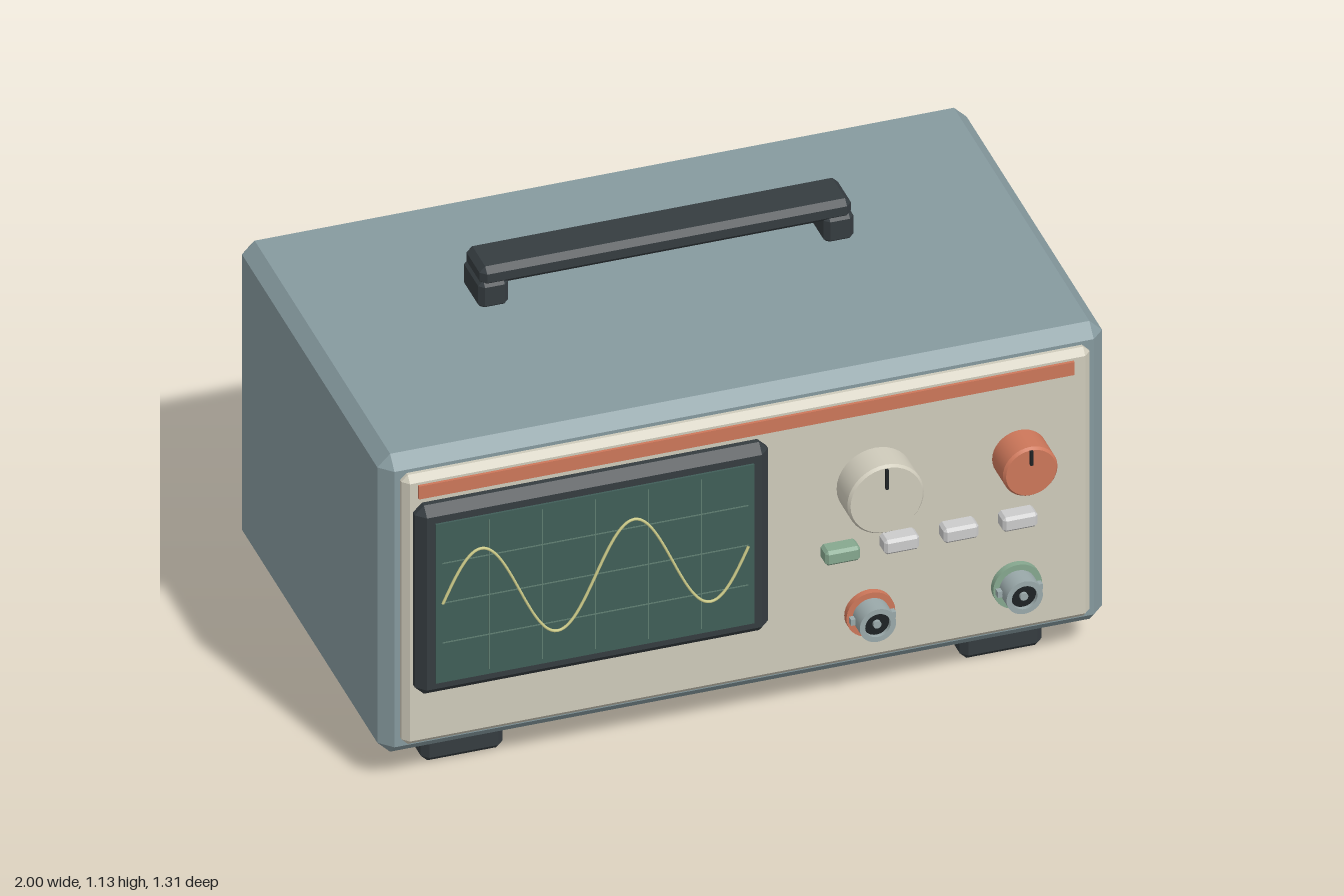
import * as THREE from 'three';
import { ConvexGeometry } from 'three/addons/geometries/ConvexGeometry.js';

const mat = (color) => new THREE.MeshStandardMaterial({ color });
const M = {
  shell: mat(0x869a9f), back: mat(0x76898a), cream: mat(0xcfcbbb), dark: mat(0x353c40),
  orange: mat(0xcd775a), screen: mat(0x405e58), grid: mat(0x5f7d70), trace: mat(0xd0cf8c),
  green: mat(0x86a88f), button: mat(0xc6c6c4), metal: mat(0x9aa9aa), black: mat(0x1d2224),
};

export function createModel() {
  const model = new THREE.Group();

  const add = (name, geometry, material, parent = model) => {
    const mesh = new THREE.Mesh(geometry, material);
    mesh.name = name;
    parent.add(mesh);
    return mesh;
  };

  // Box between two corners with all twelve edges chamfered by c
  const box = (name, material, [x0, y0, z0], [x1, y1, z1], c = 0, parent = model) => {
    const h = [(x1 - x0) / 2, (y1 - y0) / 2, (z1 - z0) / 2];
    let geometry;
    if (c > 0) {
      const points = [];
      for (const sx of [-1, 1]) for (const sy of [-1, 1]) for (const sz of [-1, 1]) {
        for (let axis = 0; axis < 3; axis++) {
          const p = h.map((v, i) => (i === axis ? v : v - c));
          points.push(new THREE.Vector3(p[0] * sx, p[1] * sy, p[2] * sz));
        }
      }
      geometry = new ConvexGeometry(points);
    } else {
      geometry = new THREE.BoxGeometry(h[0] * 2, h[1] * 2, h[2] * 2);
    }
    const mesh = add(name, geometry, material, parent);
    mesh.position.set((x0 + x1) / 2, (y0 + y1) / 2, (z0 + z1) / 2);
    return mesh;
  };

  // Turned part facing +z; each profile segment is its own band, so edges stay sharp
  const turned = (name, material, profile, parent) => {
    const group = new THREE.Group();
    group.name = name;
    for (let i = 0; i < profile.length - 1; i++) {
      const band = profile.slice(i, i + 2).map(([r, z]) => new THREE.Vector2(r, z));
      add(name + 'Face', new THREE.LatheGeometry(band, 36), material, group);
    }
    group.rotation.x = Math.PI / 2;
    parent.add(group);
  };

  const station = (name, x, y) => {
    const group = new THREE.Group();
    group.name = name;
    group.position.set(x, y, 0);
    model.add(group);
    return group;
  };

  // Case, front panel, stripe and back panel
  box('case', M.shell, [-1, 0.09, -0.645], [0.99, 1.013, 0.495], 0.035);
  box('frontPanel', M.cream, [-0.95, 0.135, 0.47], [0.94, 0.968, 0.523], 0.018);
  box('accentStripe', M.orange, [-0.91, 0.903, 0.51], [0.89, 0.943, 0.531]);
  box('backPanel', M.back, [-0.88, 0.2, -0.655], [0.87, 0.895, -0.63]);

  // Display: bezel, glass, graticule and sine trace
  box('displayBezel', M.dark, [-0.925, 0.305, 0.5], [0.045, 0.888, 0.565], 0.025);
  box('screen', M.screen, [-0.877, 0.35, 0.55], [-0.003, 0.842, 0.571]);
  for (let i = 1; i < 6; i++) {
    const x = -0.877 + (0.874 * i) / 6;
    box('graticuleColumn', M.grid, [x - 0.0015, 0.365, 0.57], [x + 0.0015, 0.827, 0.5725]);
  }
  for (let i = 1; i < 4; i++) {
    const y = 0.35 + (0.492 * i) / 4;
    box('graticuleRow', M.grid, [-0.86, y - 0.0015, 0.57], [-0.02, y + 0.0015, 0.5725]);
  }
  const wave = [];
  for (let i = 0; i <= 64; i++) {
    const t = i / 64;
    wave.push(new THREE.Vector3(-0.86 + 0.84 * t, 0.596 + 0.15 * Math.sin(t * Math.PI * 4), 0.575));
  }
  add('trace', new THREE.TubeGeometry(new THREE.CatmullRomCurve3(wave), 160, 0.004, 6), M.trace);

  // Knobs with shaft and pointer
  for (const [name, x, r, material] of [['levelKnob', 0.333, 0.105, M.cream], ['timeKnob', 0.73, 0.075, M.orange]]) {
    const knob = station(name, x, 0.707);
    turned('knobShaft', M.dark, [[0.03, 0.51], [0.03, 0.56]], knob);
    turned('knobCap', material, [[0, 0.555], [r, 0.555], [r, 0.64], [r - 0.006, 0.648], [0, 0.648]], knob);
    box('knobPointer', M.black, [-0.004, r * 0.35, 0.645], [0.004, r * 0.92, 0.656], 0, knob);
  }

  // Push buttons, the first one green
  [0.243, 0.405, 0.568, 0.73].forEach((x, i) => {
    box('pushButton', i ? M.button : M.green, [x - 0.048, 0.478, 0.51], [x + 0.048, 0.522, 0.568], 0.008);
  });

  // Coaxial sockets: coloured flange, hollow barrel, centre pin and side lugs
  for (const [name, x, material] of [['inputSocket', 0.327, M.orange], ['triggerSocket', 0.73, M.green]]) {
    const socket = station(name, x, 0.288);
    turned('socketFlange', material, [[0.067, 0.51], [0.067, 0.541], [0.03, 0.541]], socket);
    turned('socketBarrel', M.metal, [[0.05, 0.53], [0.05, 0.597], [0.035, 0.597], [0.035, 0.56]], socket);
    turned('socketCore', M.black, [[0.035, 0.585], [0, 0.585]], socket);
    turned('socketPin', M.metal, [[0.011, 0.58], [0.011, 0.594], [0, 0.594]], socket);
    for (const s of [-1, 1]) {
      box('socketLug', M.metal, [s * 0.053 - 0.009, -0.009, 0.545], [s * 0.053 + 0.009, 0.009, 0.563], 0, socket);
    }
  }

  // Carrying handle
  box('handleGrip', M.dark, [-0.515, 1.072, -0.247], [0.505, 1.13, -0.113], 0.016);
  for (const x of [-0.52, 0.428]) {
    box('handlePost', M.dark, [x, 1.005, -0.25], [x + 0.082, 1.09, -0.11], 0.014);
  }

  // Feet
  for (const x of [-0.86, 0.62]) for (const z of [0.2, -0.567]) {
    box('foot', M.dark, [x, 0, z], [x + 0.225, 0.1, z + 0.218], 0.018);
  }

  // Ventilation slots on the left side
  for (let i = 0; i < 6; i++) {
    const z = 0.126 - 0.0855 * i;
    box('ventSlot', M.dark, [0.97, 0.514, z - 0.021], [0.998, 0.767, z + 0.021]);
  }

  return model;
}
